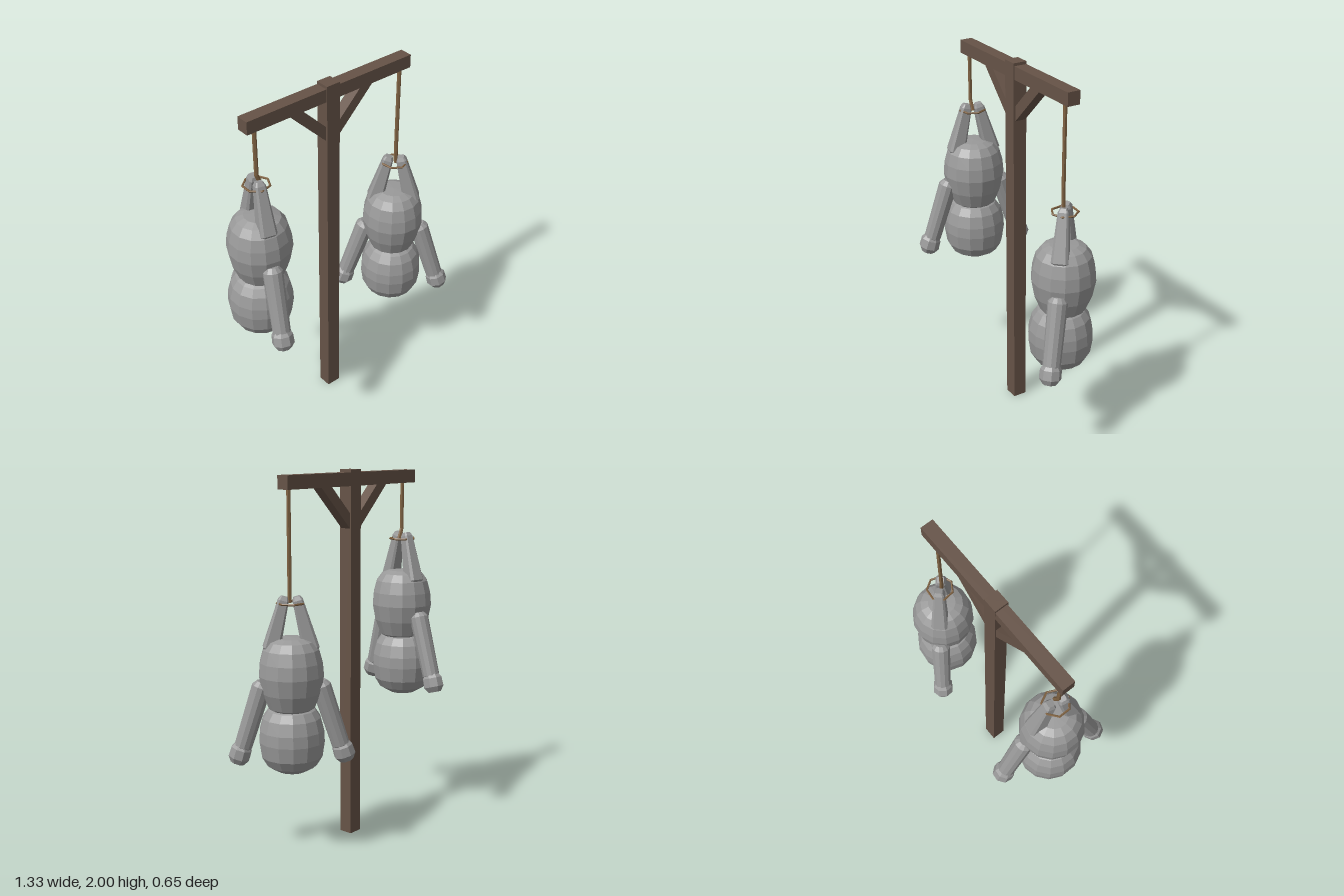
import * as THREE from 'three';

const wood = new THREE.MeshStandardMaterial({ color: 0x665347, flatShading: true });
const ropeMat = new THREE.MeshStandardMaterial({ color: 0x806343, flatShading: true });
const cloth = new THREE.MeshStandardMaterial({ color: 0x999999, flatShading: true });

function part(name, geometry, material, parent) {
  const m = new THREE.Mesh(geometry, material);
  m.name = name;
  parent.add(m);
  return m;
}

function lathe(points, sides, start = 0) {
  return new THREE.LatheGeometry(points.map(([r, y]) => new THREE.Vector2(r, y)), sides, start);
}

// Push a round cross-section outwards into a chamfered square
function squareOff(geo) {
  const p = geo.attributes.position;
  const push = (v, r) => Math.sign(v) * r * Math.pow(Math.abs(v) / r, 0.4);
  for (let i = 0; i < p.count; i++) {
    const x = p.getX(i), z = p.getZ(i), r = Math.hypot(x, z);
    if (r > 1e-6) p.setXYZ(i, push(x, r), p.getY(i), push(z, r));
  }
}

// Limb with bevelled ends running from a to b, radius ra to rb
function limb(name, a, b, ra, rb, bevel, sides, square, parent) {
  const from = new THREE.Vector3(...a), dir = new THREE.Vector3(...b).sub(from);
  const len = dir.length();
  const geo = lathe([
    [0, 0], [ra * 0.65, 0], [ra, bevel], [rb, len - bevel], [rb * 0.65, len], [0, len],
  ], sides, Math.PI / sides);
  if (square) squareOff(geo);
  const m = part(name, geo, cloth, parent);
  m.position.copy(from);
  m.quaternion.setFromUnitVectors(new THREE.Vector3(0, 1, 0), dir.normalize());
}

// Stuffed figure hanging upside down; y = 0 is the height of the ankle loop
function dummy(name) {
  const g = new THREE.Group();
  g.name = name;

  const torso = lathe([
    [0, -0.57], [0.085, -0.565], [0.12, -0.54], [0.152, -0.46], [0.169, -0.37],
    [0.163, -0.3], [0.145, -0.235], [0.115, -0.195], [0.075, -0.178], [0, -0.174],
  ], 14);
  part('torso', torso, cloth, g);

  const head = lathe([
    [0, -0.89], [0.075, -0.882], [0.13, -0.85], [0.16, -0.8], [0.172, -0.72],
    [0.169, -0.66], [0.152, -0.595], [0.125, -0.555], [0.08, -0.53], [0, -0.525],
  ], 14);
  part('head', head, cloth, g).position.z = 0.01;

  for (const s of [-1, 1]) {
    const side = s > 0 ? 'left' : 'right';
    limb(side + 'Leg', [s * 0.105, -0.25, 0], [s * 0.031, 0.034, 0], 0.046, 0.028, 0.02, 8, true, g);
    limb(side + 'Arm', [s * 0.144, -0.405, 0], [s * 0.26, -0.77, 0.01], 0.052, 0.047, 0.025, 12, false, g);
    limb(side + 'Hand', [s * 0.252, -0.73, 0.01], [s * 0.284, -0.835, 0.012], 0.056, 0.058, 0.03, 8, false, g);
  }

  // Loop round the ankles
  const loop = part('ankleLoop', new THREE.TorusGeometry(0.069, 0.006, 5, 7), ropeMat, g);
  loop.rotation.x = Math.PI / 2;
  return g;
}

export function createModel() {
  const model = new THREE.Group();
  model.name = 'hangingPost';
  const postX = -0.043;

  // Post and crossbeam
  part('post', new THREE.BoxGeometry(0.08, 2, 0.076), wood, model).position.set(postX, 1, 0.002);
  part('crossbeam', new THREE.BoxGeometry(1.02, 0.07, 0.07), wood, model).position.set(postX, 1.95, 0);

  // Diagonal braces
  for (const s of [-1, 1]) {
    const corners = [[0.035, 1.69], [0.265, 1.92], [0.185, 1.92], [0.035, 1.77]];
    const shape = new THREE.Shape(corners.map(([x, y]) => new THREE.Vector2(s * x, y)));
    const geo = new THREE.ExtrudeGeometry(shape, { depth: 0.06, bevelEnabled: false });
    part(s > 0 ? 'leftBrace' : 'rightBrace', geo, wood, model).position.set(postX, 0, -0.03);
  }

  // Figures with their ropes: position, loop height, turn and rope bend
  const hung = [
    { name: 'leftDummy', x: 0.417, y: 1.35, turn: -0.77, ropeX: 0.414, endX: 0.417 },
    { name: 'rightDummy', x: -0.495, y: 1.605, turn: 1.35 + Math.PI, ropeX: -0.498, endX: -0.475 },
  ];
  for (const h of hung) {
    const d = dummy(h.name);
    d.position.set(h.x, h.y, 0.003);
    d.rotation.y = h.turn;
    model.add(d);

    const path = new THREE.CurvePath();
    const pts = [[h.ropeX, 1.93], [h.ropeX, h.y + 0.055], [h.endX, h.y]]
      .map(([x, y]) => new THREE.Vector3(x, y, 0.012));
    path.add(new THREE.LineCurve3(pts[0], pts[1]));
    path.add(new THREE.LineCurve3(pts[1], pts[2]));
    part(h.name + 'Rope', new THREE.TubeGeometry(path, 16, 0.011, 6), ropeMat, model);
  }
  return model;
}
